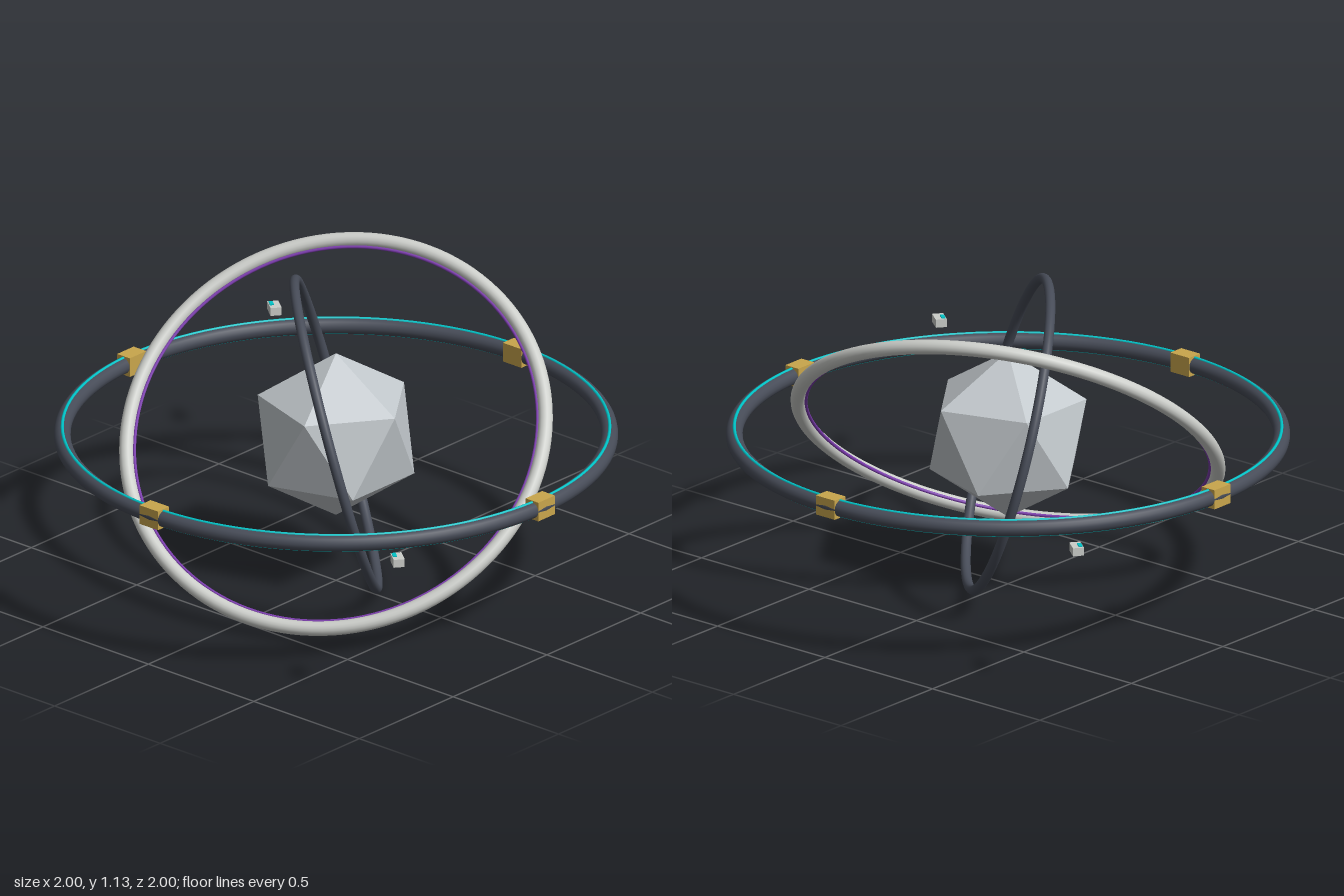
import * as THREE from 'three';

const CENTER_Y = 0.567;

function mat(name, color, side = THREE.FrontSide) {
  const m = new THREE.MeshStandardMaterial({ color, side });
  m.name = name;
  return m;
}

export function createModel() {
  const model = new THREE.Group();
  model.name = 'orbitalRings';

  const darkMetal = mat('dark metal', 0x474c58);
  const paleMetal = mat('pale metal', 0xccceca);
  const stone = mat('pale stone', 0xc2c8cc);
  const gold = mat('gold', 0xc9a64c);
  const cyan = mat('cyan', 0x00c4c8);
  const purple = mat('purple', 0x7d3cb0);

  const add = (name, geometry, material, parent) => {
    const mesh = new THREE.Mesh(geometry, material);
    mesh.name = name;
    parent.add(mesh);
    return mesh;
  };

  // Ring group whose local z axis points along the given normal
  const ringGroup = (name, nx, ny, nz) => {
    const g = new THREE.Group();
    g.name = name;
    g.position.y = CENTER_Y;
    g.quaternion.setFromUnitVectors(
      new THREE.Vector3(0, 0, 1), new THREE.Vector3(nx, ny, nz).normalize());
    model.add(g);
    return g;
  };
  const torus = (radius, tube, sides = 16) => new THREE.TorusGeometry(radius, tube, sides, 128);

  // Faceted core with one corner straight up
  const coreGeo = new THREE.IcosahedronGeometry(0.312, 0);
  coreGeo.rotateX(-Math.atan((1 + Math.sqrt(5)) / 2));
  coreGeo.rotateY(Math.PI / 2);
  coreGeo.computeVertexNormals();
  add('core', coreGeo, stone, model).position.y = CENTER_Y;

  // Level outer ring with a light line above and below
  const outer = ringGroup('outerRingGroup', 0, 1, 0);
  add('outerRing', torus(0.97, 0.03), darkMetal, outer);
  for (const s of [-1, 1]) {
    add('lightLine', torus(0.97, 0.006, 8), cyan, outer).position.z = s * 0.028;
  }

  // Four clamps on the outer ring
  for (let i = 0; i < 4; i++) {
    const pivot = new THREE.Group();
    pivot.name = 'clampPivot';
    pivot.position.y = CENTER_Y;
    pivot.rotation.y = i * Math.PI / 2;
    model.add(pivot);
    add('clamp', new THREE.BoxGeometry(0.088, 0.072, 0.06), gold, pivot).position.z = 0.9685;
  }

  // Tilted pale ring with a thin inner line
  const middle = ringGroup('middleRingGroup', 0.297, 0.731, 0.615);
  add('middleRing', torus(0.756, 0.026), paleMetal, middle);
  add('innerLine', torus(0.727, 0.006, 8), purple, middle);

  // Steep dark inner ring
  const inner = ringGroup('innerRingGroup', 0.692, 0.257, -0.676);
  add('innerRing', torus(0.566, 0.018), darkMetal, inner);

  // Two small pods outside the rings, each with a light plate on top
  const pods = [[0.926, 0.578, 0.713], [-0.93, 0.553, -0.717]];
  for (const [x, y, z] of pods) {
    const pod = new THREE.Group();
    pod.name = 'pod';
    pod.position.set(x, y, z);
    pod.rotation.y = -Math.atan2(0.61, 0.79);
    model.add(pod);
    add('podBody', new THREE.BoxGeometry(0.064, 0.03, 0.04), paleMetal, pod);
    add('podLight', new THREE.BoxGeometry(0.03, 0.006, 0.014), cyan, pod)
      .position.set(-0.008, 0.016, 0.01);
  }

  return model;
}
